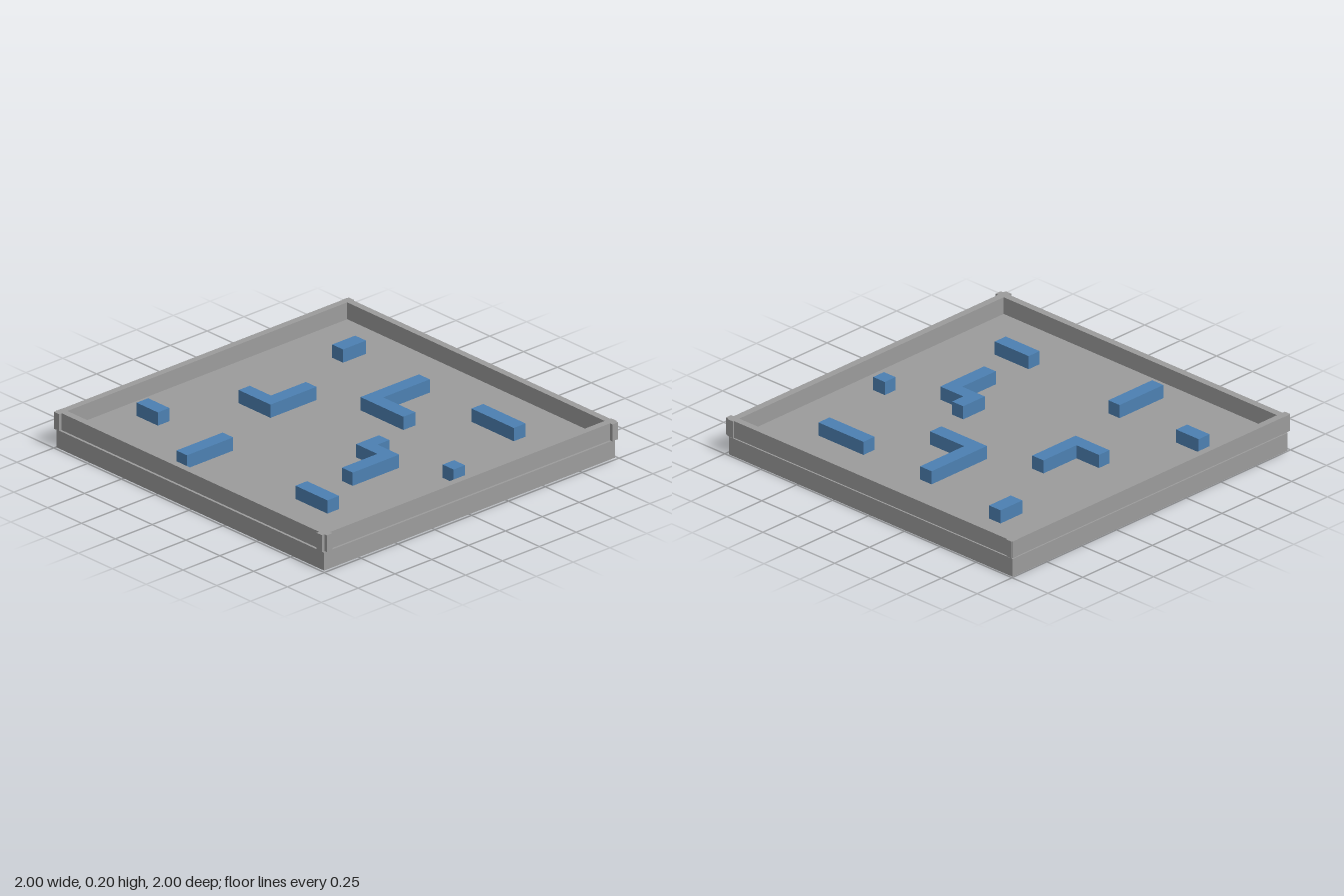
import * as THREE from 'three';

export function createModel() {
  const model = new THREE.Group();
  model.name = 'walledBoard';

  const grey = new THREE.MeshStandardMaterial({ color: 0x9c9c9c });
  grey.name = 'stone grey';
  const blue = new THREE.MeshStandardMaterial({ color: 0x4c80b2 });
  blue.name = 'steel blue';

  // Box given by its lower and upper corners
  function box(name, [x0, y0, z0], [x1, y1, z1], material) {
    const mesh = new THREE.Mesh(new THREE.BoxGeometry(x1 - x0, y1 - y0, z1 - z0), material);
    mesh.position.set((x0 + x1) / 2, (y0 + y1) / 2, (z0 + z1) / 2);
    mesh.name = name;
    model.add(mesh);
  }

  // Floor slab
  box('floor', [-0.995, 0, -0.99], [0.982, 0.099, 0.985], grey);

  // Rim walls: each runs the full length, so the ends stick out at the corners
  const low = 0.107, high = 0.2;
  box('backWall', [-1, low, -0.993], [1, high, -0.955], grey);
  box('frontWall', [-1, low, 0.944], [1, high, 0.983], grey);
  box('rightWall', [-0.998, low, -1], [-0.96, high, 1], grey);
  box('leftWall', [0.943, low, -1], [0.982, high, 1], grey);

  // Maze blocks, hovering just above the floor; outlines are [x, z]
  const bottom = 0.104, height = 0.073;
  function block(name, outline) {
    const shape = new THREE.Shape(outline.map(([x, z]) => new THREE.Vector2(x, -z)));
    const geometry = new THREE.ExtrudeGeometry(shape, { depth: height, bevelEnabled: false });
    geometry.rotateX(-Math.PI / 2);
    const mesh = new THREE.Mesh(geometry, blue);
    mesh.position.y = bottom;
    mesh.name = name;
    model.add(mesh);
  }

  // Straight blocks: x0, z0, x1, z1
  const bars = [
    [-0.68, -0.752, -0.6, -0.596],
    [0.348, -0.677, 0.661, -0.597],
    [0.739, -0.12, 0.82, -0.043],
    [-0.835, 0.511, -0.678, 0.589],
    [-0.284, 0.511, -0.206, 0.825],
    [0.425, 0.589, 0.661, 0.668],
  ];
  bars.forEach(([x0, z0, x1, z1], i) =>
    block(`straightBlock${i + 1}`, [[x0, z0], [x1, z0], [x1, z1], [x0, z1]]));

  // Bent blocks
  block('cornerBlock1', [
    [-0.127, -0.677], [-0.047, -0.677], [-0.047, -0.361],
    [0.19, -0.361], [0.19, -0.28], [-0.127, -0.28],
  ]);
  block('cornerBlock2', [
    [-0.443, -0.2], [-0.365, -0.2], [-0.365, 0.112],
    [-0.6, 0.112], [-0.6, 0.037], [-0.443, 0.037],
  ]);
  block('steppedBlock', [
    [0.268, -0.043], [0.345, -0.043], [0.345, 0.037], [0.505, 0.037],
    [0.505, 0.353], [0.425, 0.353], [0.425, 0.112], [0.268, 0.112],
  ]);

  return model;
}
